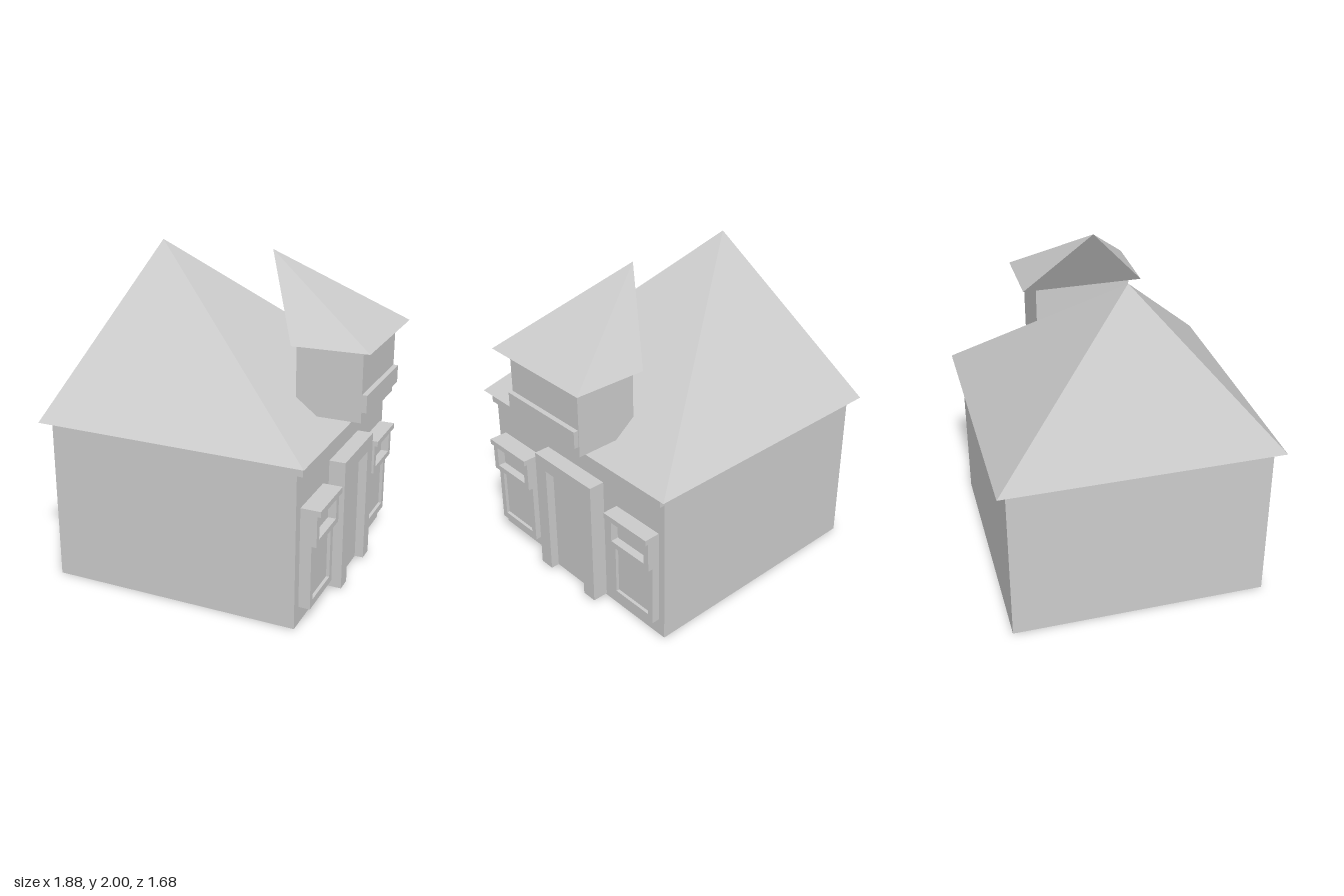
import * as THREE from 'three';

const material = new THREE.MeshStandardMaterial({ color: 0xcccccc, flatShading: true });

// Box given by its limits on each axis
function box(parent, name, [x0, x1], [y0, y1], [z0, z1]) {
  const mesh = new THREE.Mesh(new THREE.BoxGeometry(x1 - x0, y1 - y0, z1 - z0), material);
  mesh.position.set((x0 + x1) / 2, (y0 + y1) / 2, (z0 + z1) / 2);
  mesh.name = name;
  parent.add(mesh);
}

// Closed four-sided roof with a freely placed apex
function hipRoof(parent, name, apex, backX, frontX, backY, frontY, halfZ) {
  const base = [
    [backX, backY, halfZ], [frontX, frontY, halfZ],
    [frontX, frontY, -halfZ], [backX, backY, -halfZ],
  ];
  const points = [];
  for (let i = 0; i < 4; i++) points.push(...base[i], ...base[(i + 1) % 4], ...apex);
  for (const i of [0, 2, 1, 0, 3, 2]) points.push(...base[i]);
  const geometry = new THREE.BufferGeometry();
  geometry.setAttribute('position', new THREE.Float32BufferAttribute(points, 3));
  geometry.computeVertexNormals();
  const mesh = new THREE.Mesh(geometry, material);
  mesh.name = name;
  parent.add(mesh);
}

// Sash window: thick upper frame, thinner lower frame, shared pane and a lintel
function sashWindow(name, z, shift) {
  const group = new THREE.Group();
  group.name = name;
  const wall = 0.68, upper = 0.78 + shift, lower = 0.75 + shift, pane = 0.73 + shift;
  const half = 0.18, inner = 0.14;
  box(group, 'lintel', [wall, 0.8 + shift], [0.7, 0.735], [z - half, z + half]);
  box(group, 'middleRail', [wall, upper], [0.51, 0.545], [z - half, z + half]);
  box(group, 'bottomRail', [wall, lower], [0.11, 0.155], [z - half, z + half]);
  for (const s of [-1, 1]) {
    const span = [z + s * half, z + s * inner].sort((a, b) => a - b);
    box(group, 'upperJamb', [wall, upper], [0.545, 0.7], span);
    box(group, 'lowerJamb', [wall, lower], [0.155, 0.51], span);
  }
  box(group, 'upperPane', [wall, pane], [0.545, 0.7], [z - inner, z + inner]);
  box(group, 'lowerPane', [wall, pane], [0.155, 0.51], [z - inner, z + inner]);
  return group;
}

export function createModel() {
  const house = new THREE.Group();
  house.name = 'house';

  // Main building
  box(house, 'walls', [-0.885, 0.68], [0, 1.02], [-0.785, 0.785]);
  box(house, 'eaveTrim', [0.68, 0.715], [0.953, 1.02], [-0.785, 0.785]);
  hipRoof(house, 'mainRoof', [-0.53, 2, 0], -0.945, 0.74, 1.02, 1.02, 0.84);

  // Door with a projecting surround
  const door = new THREE.Group();
  door.name = 'door';
  box(door, 'doorHead', [0.68, 0.78], [0.75, 0.84], [-0.262, 0.262]);
  box(door, 'leftJamb', [0.68, 0.78], [0.01, 0.75], [0.164, 0.262]);
  box(door, 'rightJamb', [0.68, 0.78], [0.01, 0.75], [-0.262, -0.164]);
  box(door, 'doorPanel', [0.68, 0.725], [0.01, 0.75], [-0.164, 0.164]);
  house.add(door);

  // Windows on both sides of the door
  house.add(sashWindow('nearWindow', 0.54, 0));
  house.add(sashWindow('farWindow', -0.558, -0.02));

  // Dormer set into the roof slope
  const dormer = new THREE.Group();
  dormer.name = 'dormer';
  box(dormer, 'dormerWalls', [0.478, 0.875], [1.12, 1.552], [-0.305, 0.305]);
  box(dormer, 'dormerSill', [0.875, 0.905], [1.185, 1.29], [-0.3, 0.305]);
  hipRoof(dormer, 'dormerRoof', [0.2, 2, 0], 0.475, 0.938, 1.548, 1.557, 0.387);
  house.add(dormer);

  return house;
}
